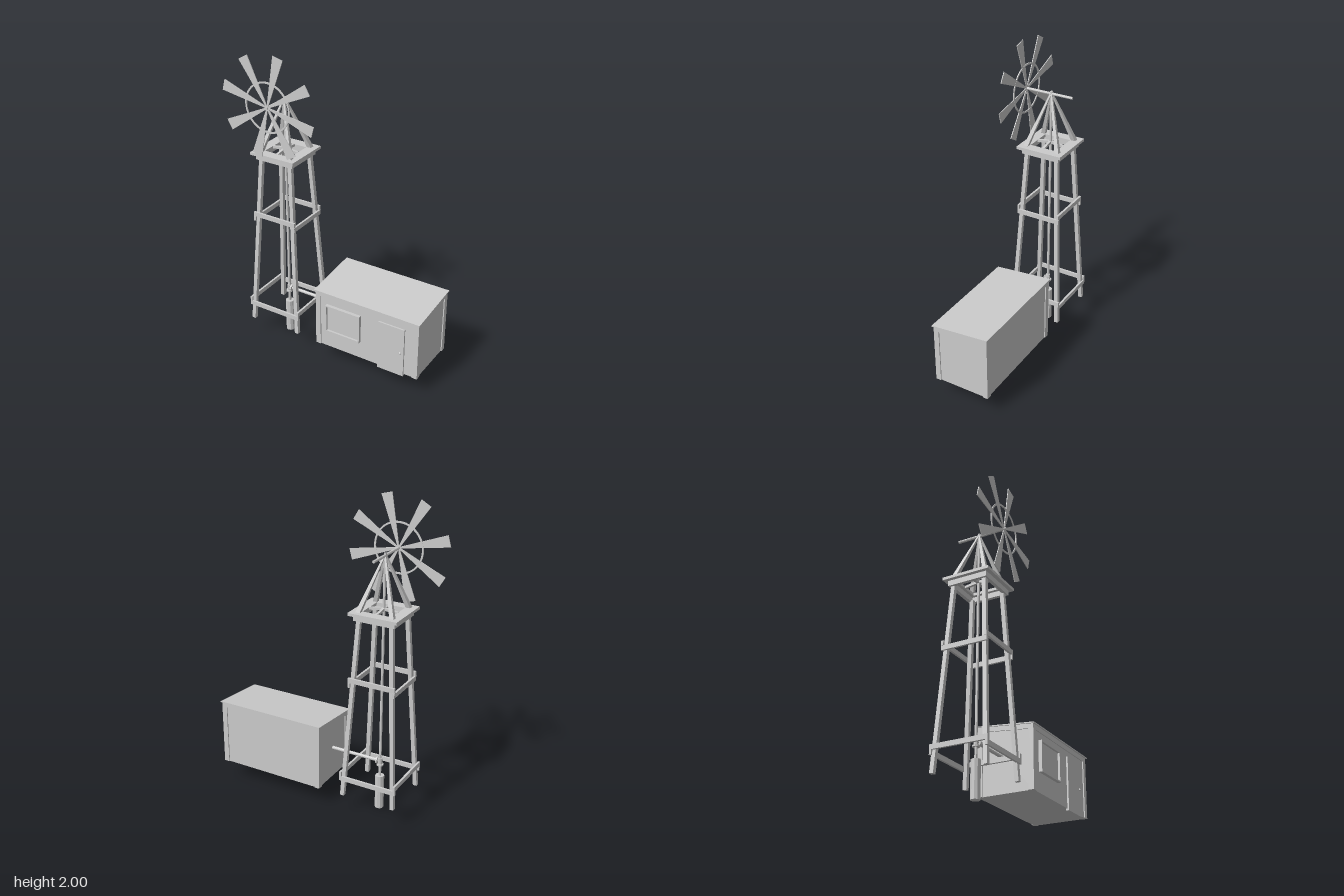
import * as THREE from 'three';

const mat = new THREE.MeshStandardMaterial({ color: 0xcccccc, flatShading: true });
const TX = -0.375, TZ = -0.004; // tower axis

function add(parent, name, geo, x = 0, y = 0, z = 0) {
  const m = new THREE.Mesh(geo, mat);
  m.name = name;
  m.position.set(x, y, z);
  parent.add(m);
  return m;
}

// box given by its limits
function block(parent, name, x0, x1, y0, y1, z0, z1) {
  return add(parent, name, new THREE.BoxGeometry(x1 - x0, y1 - y0, z1 - z0),
    (x0 + x1) / 2, (y0 + y1) / 2, (z0 + z1) / 2);
}

// square or round bar between two points, optionally tapered
function bar(parent, name, a, b, r0, r1 = r0, sides = 4) {
  const p = new THREE.Vector3(...a), q = new THREE.Vector3(...b);
  const k = sides === 4 ? Math.SQRT2 : 1;
  const geo = new THREE.CylinderGeometry(r1 * k, r0 * k, p.distanceTo(q), sides);
  if (sides === 4) geo.rotateY(Math.PI / 4);
  const m = add(parent, name, geo);
  m.position.copy(p).lerp(q, 0.5);
  m.quaternion.setFromUnitVectors(new THREE.Vector3(0, 1, 0), q.sub(p).normalize());
  return m;
}

// [z, y] profile extruded along x
function prism(parent, name, profile, x0, x1) {
  const shape = new THREE.Shape(profile.map(([z, y]) => new THREE.Vector2(-z, y)));
  const geo = new THREE.ExtrudeGeometry(shape, { depth: x1 - x0, bevelEnabled: false });
  geo.rotateY(Math.PI / 2);
  return add(parent, name, geo, x0);
}

// flat rectangular frame in the xy plane, centred, extruded along z
function frameGeo(w, h, border, depth) {
  const rect = (C, a, b) => new C([[-a, -b], [a, -b], [a, b], [-a, b]].map(p => new THREE.Vector2(...p)));
  const s = rect(THREE.Shape, w / 2, h / 2);
  s.holes.push(rect(THREE.Path, w / 2 - border, h / 2 - border));
  return new THREE.ExtrudeGeometry(s, { depth, bevelEnabled: false });
}

function buildTower() {
  const g = new THREE.Group();
  g.name = 'tower';
  g.position.set(TX, 0, TZ);

  // legs and roof struts, one per corner
  for (const sx of [-1, 1]) for (const sz of [-1, 1]) {
    bar(g, 'leg', [sx * 0.174, 0.125, sz * 0.168], [sx * 0.107, 1.3, sz * 0.105], 0.013);
    bar(g, 'topStrut', [sx * 0.112, 1.335, sz * 0.112], [sx * 0.004, 1.67, sz * 0.004], 0.014, 0.005);
  }

  // two levels of cross braces outside the legs: [half x, half z, y of x bars, y of z bars]
  for (const [hx, hz, yx, yz] of [[0.192, 0.183, 0.245, 0.275], [0.156, 0.151, 0.912, 0.88]]) {
    for (const s of [-1, 1]) {
      add(g, 'braceX', new THREE.BoxGeometry(hx * 2, 0.03, 0.014), 0, yx, s * (hz - 0.007));
      add(g, 'braceZ', new THREE.BoxGeometry(0.014, 0.03, hz * 2), s * (hx - 0.007), yz, 0);
    }
  }

  // platform with open middle, and the beam frame below it
  const deck = add(g, 'platform', frameGeo(0.318, 0.31, 0.066, 0.018), 0, 1.344, 0);
  deck.rotation.x = Math.PI / 2;
  const rim = add(g, 'platformBeams', frameGeo(0.27, 0.26, 0.022, 0.036), 0, 1.328, 0);
  rim.rotation.x = Math.PI / 2;

  // low cross supports meeting at the pole
  for (const [dx, dz] of [[1, 0], [-1, 0], [0, 1], [0, -1]])
    bar(g, 'poleSupport', [dx * 0.095, 1.337, dz * 0.095], [0, 1.35, 0], 0.008);

  // pump pole and well casing
  bar(g, 'pole', [0, 0.2, 0], [0, 1.69, 0], 0.009, 0.009, 8);
  bar(g, 'wellCasing', [0, 0, 0], [0, 0.23, 0], 0.029, 0.029, 10);
  return g;
}

function buildWheel() {
  const g = new THREE.Group();
  g.name = 'windWheel';
  g.position.set(TX, 1.674, 0);
  bar(g, 'shaft', [0, 0, -0.15], [0, 0, 0.184], 0.009, 0.009, 8);

  // tapered blades
  const blade = new THREE.Shape([[0, -0.004], [0.33, -0.036], [0.33, 0.036], [0, 0.004]]
    .map(p => new THREE.Vector2(...p)));
  const geo = new THREE.ExtrudeGeometry(blade, { depth: 0.005, bevelEnabled: false });
  for (let i = 0; i < 8; i++)
    add(g, 'blade', geo, 0, 0, 0.168).rotation.z = (30 + 45 * i) * Math.PI / 180;

  // flat ring tying the blades together
  const ring = new THREE.Shape().absarc(0, 0, 0.161, 0, Math.PI * 2);
  ring.holes.push(new THREE.Path().absarc(0, 0, 0.15, 0, Math.PI * 2));
  add(g, 'ring', new THREE.ExtrudeGeometry(ring, { depth: 0.006, bevelEnabled: false, curveSegments: 24 }), 0, 0, 0.167);
  return g;
}

function buildHut() {
  const g = new THREE.Group();
  g.name = 'hut';
  const X0 = -0.04, X1 = 0.695, ZF = 0.183, ZB = -0.193, Y0 = 0.125;
  const under = z => 0.522 + (0.194 - z) * 0.0965; // roof underside height
  const i = 0.007; // depth of the wall recess

  prism(g, 'walls', [[ZF - i, Y0], [ZB + i, Y0], [ZB + i, under(ZB + i)], [ZF - i, under(ZF - i)]], X0 + i, X1 - i);
  prism(g, 'roof', [[0.192, under(0.192)], [-0.2, under(-0.2)], [-0.2, 0.567], [0.192, 0.53]], -0.047, 0.702);

  // corner boards and top boards
  const w = 0.035;
  for (const [a, b] of [[X0, X0 + w], [X1 - w, X1]])
    for (const [f, r] of [[ZF, ZF - w], [ZB + w, ZB]])
      prism(g, 'cornerBoard', [[f, Y0], [r, Y0], [r, under(r)], [f, under(f)]], a, b);
  for (const [f, r] of [[ZF, ZF - 0.012], [ZB + 0.012, ZB]])
    prism(g, 'topBoard', [[f, under(f) - 0.03], [r, under(r) - 0.03], [r, under(r)], [f, under(f)]], X0, X1);
  for (const [a, b] of [[X0, X0 + 0.012], [X1 - 0.012, X1]])
    prism(g, 'gableBoard', [[ZF, under(ZF) - 0.03], [ZB, under(ZB) - 0.03], [ZB, under(ZB)], [ZF, under(ZF)]], a, b);

  // window
  add(g, 'windowFrame', frameGeo(0.25, 0.194, 0.009, 0.028), 0.164, 0.346, 0.17);
  block(g, 'windowPane', 0.045, 0.283, 0.254, 0.438, 0.17, 0.184);

  // door with knob
  block(g, 'door', 0.417, 0.6, 0.113, 0.455, 0.165, 0.187);
  add(g, 'doorKnob', new THREE.SphereGeometry(0.008, 10, 8), 0.577, 0.282, 0.19);
  return g;
}

function buildPipe() {
  const g = new THREE.Group();
  g.name = 'waterPipe';
  const y = 0.333;
  bar(g, 'pipe', [TX, y, TZ], [-0.03, y, TZ], 0.011, 0.011, 10);
  bar(g, 'pipeFlange', [TX + 0.014, y, TZ], [TX + 0.026, y, TZ], 0.023, 0.023, 10);
  bar(g, 'pipeJoint', [TX, 0.305, TZ], [TX, 0.352, TZ], 0.014, 0.014, 10);
  bar(g, 'poleFlange', [TX, 0.302, TZ], [TX, 0.312, TZ], 0.023, 0.023, 10);
  return g;
}

export function createModel() {
  const model = new THREE.Group();
  model.name = 'windPump';
  model.add(buildTower(), buildWheel(), buildHut(), buildPipe());
  return model;
}
